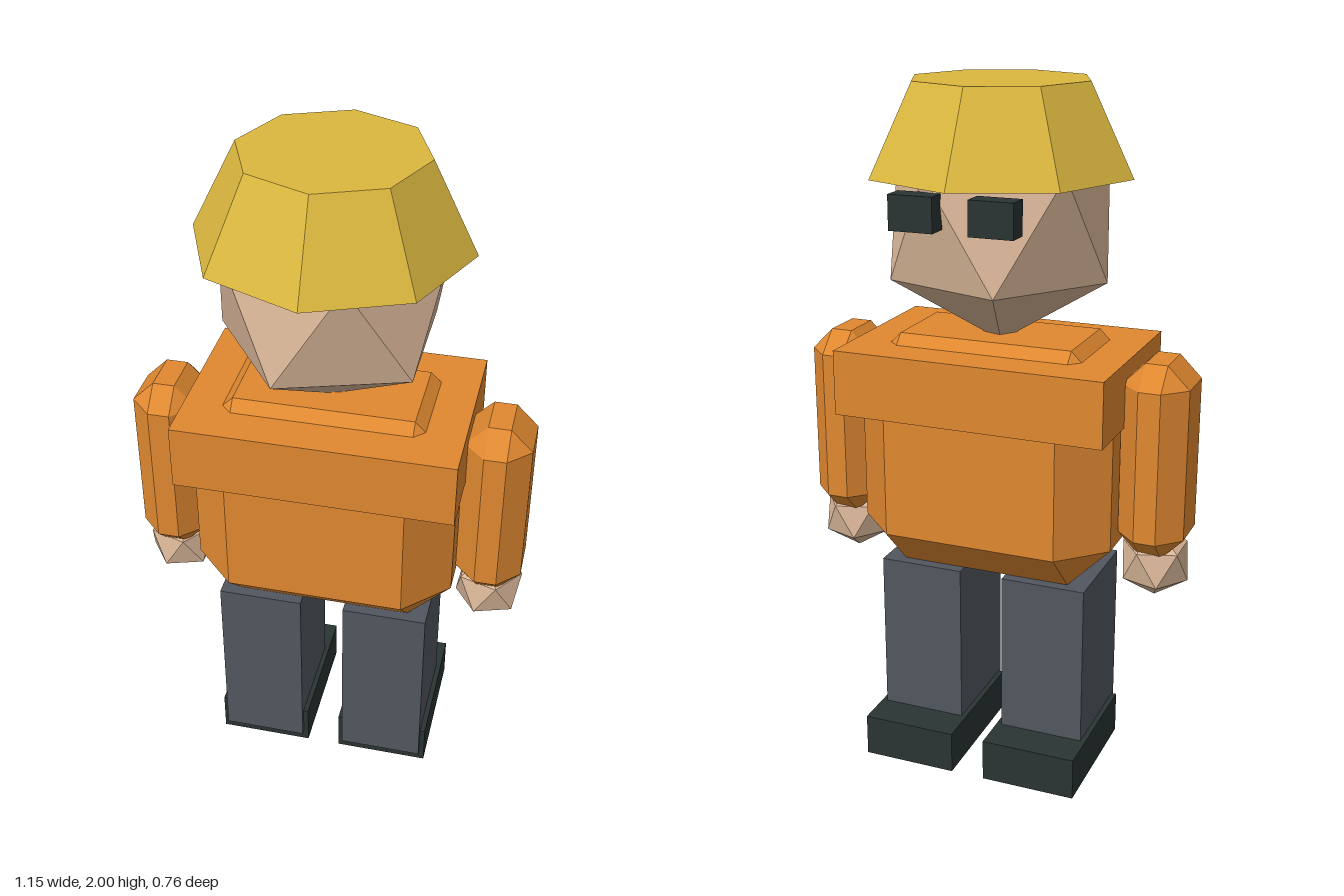
import * as THREE from 'three';
import { ConvexGeometry } from 'three/addons/geometries/ConvexGeometry.js';

const material = (name, color) => {
  const m = new THREE.MeshStandardMaterial({ color, flatShading: true });
  m.name = name;
  return m;
};

// Box given by its lower and upper corners
function boxBetween([x0, y0, z0], [x1, y1, z1]) {
  return new THREE.BoxGeometry(x1 - x0, y1 - y0, z1 - z0)
    .translate((x0 + x1) / 2, (y0 + y1) / 2, (z0 + z1) / 2);
}

// Box of half sizes h with every edge cut by one flat bevel b
function chamferBox([hx, hy, hz], b) {
  const points = [];
  for (const sx of [-1, 1]) for (const sy of [-1, 1]) for (const sz of [-1, 1]) {
    points.push(
      new THREE.Vector3(sx * hx, sy * (hy - b), sz * (hz - b)),
      new THREE.Vector3(sx * (hx - b), sy * hy, sz * (hz - b)),
      new THREE.Vector3(sx * (hx - b), sy * (hy - b), sz * hz));
  }
  return new ConvexGeometry(points);
}

// Icosahedron standing on one of its corners
function uprightIcosahedron(radius) {
  return new THREE.IcosahedronGeometry(radius, 0).rotateZ(-Math.atan(2 / (1 + Math.sqrt(5))));
}

export function createModel() {
  const model = new THREE.Group();
  model.name = 'worker';
  const skin = material('skin', 0xdab799);
  const orange = material('orange jacket', 0xe08830);
  const yellow = material('yellow helmet', 0xdcb83f);
  const grey = material('grey trousers', 0x52565f);
  const dark = material('dark boots and eyes', 0x2a3433);

  const add = (name, geometry, mat, x = 0, y = 0, z = 0) => {
    const mesh = new THREE.Mesh(geometry, mat);
    mesh.name = name;
    mesh.position.set(x, y, z);
    model.add(mesh);
  };

  // Head and helmet
  add('head', uprightIcosahedron(0.35), skin, 0, 1.622, 0);
  add('helmet', new THREE.CylinderGeometry(0.255, 0.38, 0.25, 8), yellow, 0, 1.875, 0);

  // Torso and shoulder yoke
  add('torso', chamferBox([0.38, 0.3475, 0.25], 0.125), orange, 0, 0.9525, 0);
  add('shoulderYoke', boxBetween([-0.395, 1.083, -0.27], [0.395, 1.27, 0.27]), orange);

  // Paired parts
  for (const [side, s] of [['left', 1], ['right', -1]]) {
    add(side + 'Arm', chamferBox([0.095, 0.2825, 0.127], 0.0635), orange, s * 0.477, 0.9875, 0);
    add(side + 'Hand', uprightIcosahedron(0.108), skin, s * 0.477, 0.67, 0);
    add(side + 'Leg', new THREE.BoxGeometry(0.25, 0.57, 0.316), grey, s * 0.19, 0.32, 0);
    add(side + 'Boot', new THREE.BoxGeometry(0.28, 0.125, 0.41), dark, s * 0.19, 0.0625, -0.063);
    add(side + 'Eye', new THREE.BoxGeometry(0.125, 0.095, 0.063), dark, s * 0.112, 1.685, -0.317);
  }
  return model;
}
